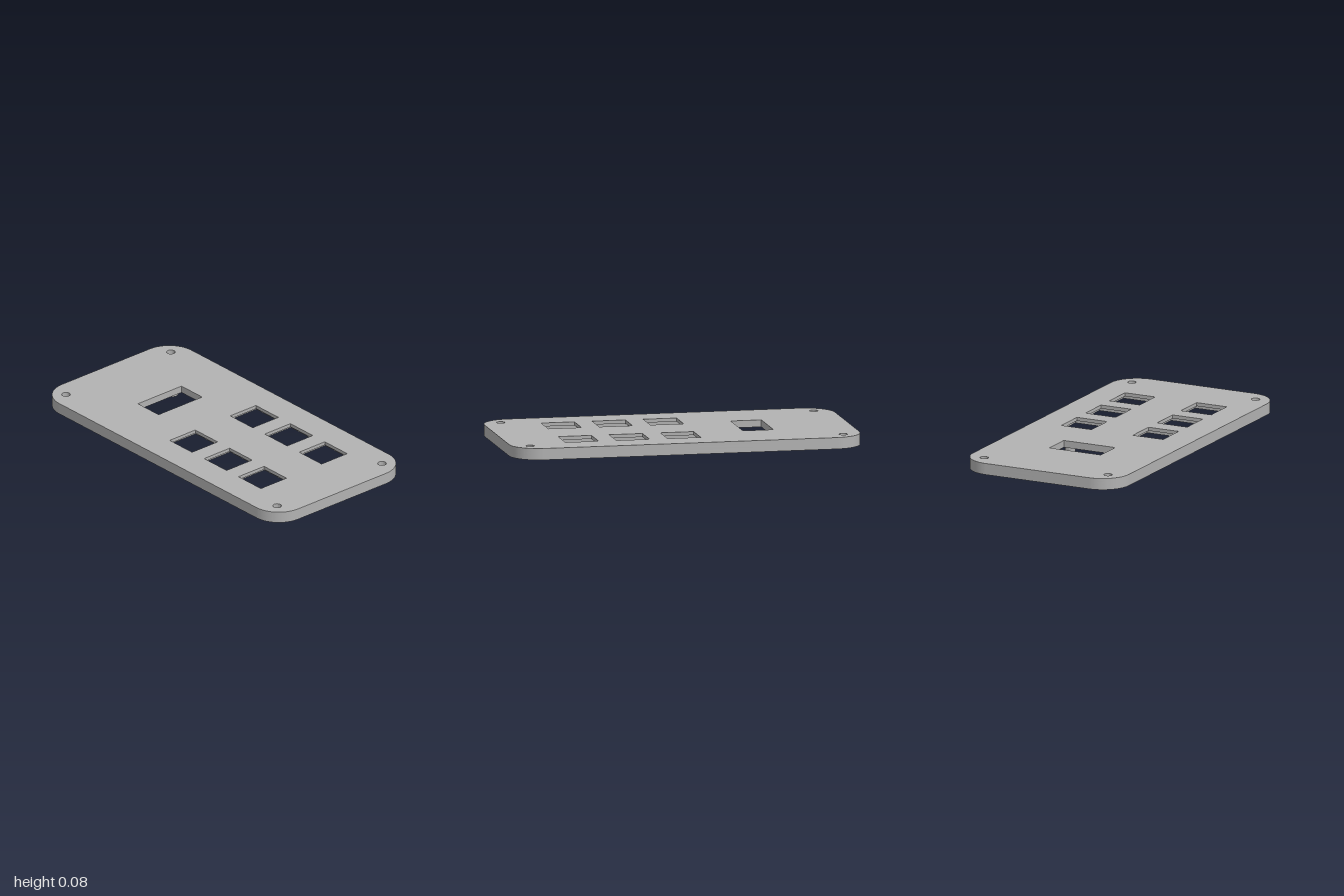
import * as THREE from 'three';
import { toCreasedNormals } from 'three/addons/utils/BufferGeometryUtils.js';

const HALF_W = 0.49, HALF_L = 1, CORNER = 0.165;
const RIM = 0.035;                                        // rim wall thickness
const Y_RIM = 0.015, Y_FLOOR = 0.04, Y_LEDGE = 0.06, Y_TOP = 0.08;

// Rounded rectangle outline, centred on the origin
function roundedRect(PathType, hw, hl, r) {
  const p = new PathType();
  p.moveTo(hw, -hl + r);
  p.absarc(hw - r, hl - r, r, 0, Math.PI / 2);
  p.absarc(-hw + r, hl - r, r, Math.PI / 2, Math.PI);
  p.absarc(-hw + r, -hl + r, r, Math.PI, Math.PI * 1.5);
  p.absarc(hw - r, -hl + r, r, Math.PI * 1.5, Math.PI * 2);
  p.closePath();
  return p;
}

// Rectangular hole at plan position x, z
function rectHole(x, z, w, l) {
  return new THREE.Path([
    [x - w / 2, -z - l / 2], [x - w / 2, -z + l / 2],
    [x + w / 2, -z + l / 2], [x + w / 2, -z - l / 2],
  ].map(([a, b]) => new THREE.Vector2(a, b)));
}

function roundHole(x, z, r) {
  const p = new THREE.Path();
  p.absarc(x, -z, r, 0, Math.PI * 2, true);
  return p;
}

// Horizontal layer of the panel between two heights
function layer(name, holes, y0, y1, material) {
  const shape = roundedRect(THREE.Shape, HALF_W, HALF_L, CORNER);
  shape.holes.push(...holes);
  const geo = new THREE.ExtrudeGeometry(shape, { depth: y1 - y0, bevelEnabled: false, curveSegments: 16 });
  geo.rotateX(-Math.PI / 2).translate(0, y0, 0);
  const mesh = new THREE.Mesh(toCreasedNormals(geo, Math.PI / 5), material);
  mesh.name = name;
  return mesh;
}

export function createModel() {
  const grey = new THREE.MeshStandardMaterial({ color: 0xb2b2b2 });
  grey.name = 'grey plastic';
  const model = new THREE.Group();
  model.name = 'controlPanelCover';

  // Openings shared by both plate layers: display window and corner screw holes
  const common = () => {
    const holes = [rectHole(0, -0.457, 0.323, 0.175)];
    for (const x of [-0.389, 0.389])
      for (const z of [-0.894, 0.894]) holes.push(roundHole(x, z, 0.024));
    return holes;
  };
  // Six square key openings in two columns
  const keys = (size) => [-0.225, 0.225].flatMap((x) =>
    [0, 0.292, 0.583].map((z) => rectHole(x, z, size, size)));

  model.add(layer('facePlate', [...common(), ...keys(0.19)], Y_LEDGE, Y_TOP, grey));
  // Wider pockets behind the key openings
  model.add(layer('backPlate', [...common(), ...keys(0.232)], Y_FLOOR, Y_LEDGE, grey));
  // Rim around the underside
  const inner = roundedRect(THREE.Path, HALF_W - RIM, HALF_L - RIM, CORNER - RIM);
  model.add(layer('rim', [inner], Y_RIM, Y_FLOOR, grey));

  // Hollow screw posts around the display window
  const profile = [[0, 0.036], [0.014, 0.036], [0.014, 0], [0.0295, 0], [0.0295, Y_FLOOR]]
    .map(([r, y]) => new THREE.Vector2(r, y));
  const postGeo = toCreasedNormals(new THREE.LatheGeometry(profile, 32).toNonIndexed(), Math.PI / 5);
  for (const x of [-0.16, 0.16])
    for (const z of [-0.617, -0.297]) {
      const post = new THREE.Mesh(postGeo, grey);
      post.name = 'screwPost';
      post.position.set(x, 0, z);
      model.add(post);
    }
  return model;
}
